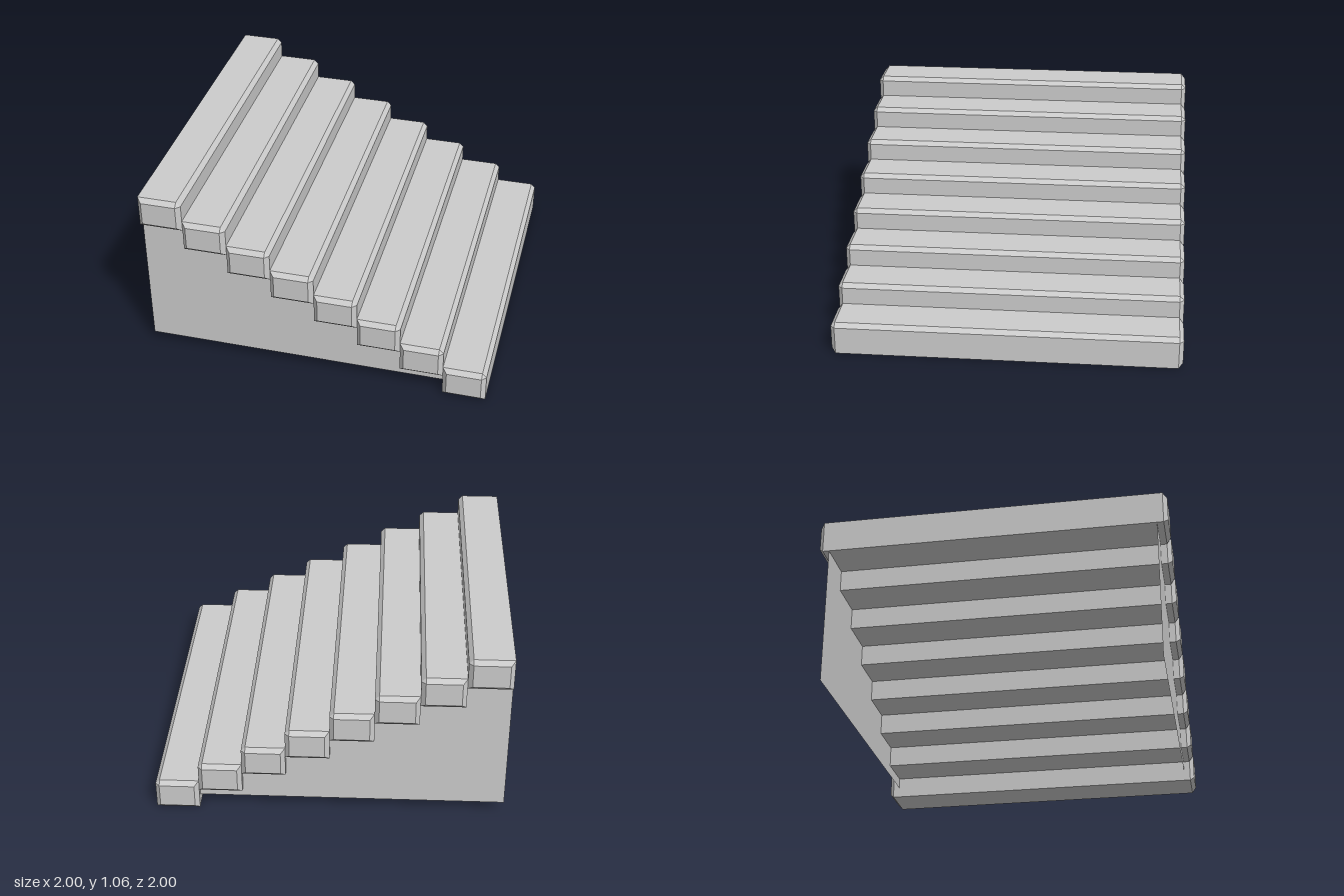
import * as THREE from 'three';
import { ConvexGeometry } from 'three/addons/geometries/ConvexGeometry.js';

const STEPS = 8, RUN = 0.25, RISE = 0.125, HEIGHT = 0.1875, BEVEL = 0.025;

// One tread: a solid bar along z with a bevelled nosing and bevelled ends
function treadGeometry() {
  const w = RUN, h = HEIGHT, b = BEVEL;
  const body = [[0, 0], [w, 0], [w, h - b], [w - b, h], [0, h]];
  const cap = [[b, b], [w - b, b], [w - b, h - b], [b, h - b]];
  const points = [];
  for (const s of [-1, 1]) {
    body.forEach(([x, y]) => points.push(new THREE.Vector3(x, y, s * (1 - b))));
    cap.forEach(([x, y]) => points.push(new THREE.Vector3(x, y, s)));
  }
  return new ConvexGeometry(points);
}

// Thin side sheet whose sloping top edge is hidden inside the treads
function panelGeometry() {
  const shape = new THREE.Shape([
    new THREE.Vector2(-1, 0.0625),
    new THREE.Vector2(0.875, 0.0625),
    new THREE.Vector2(0.875, 0.0925),
    new THREE.Vector2(-1, 1.03),
  ]);
  return new THREE.ShapeGeometry(shape);
}

export function createModel() {
  const model = new THREE.Group();
  model.name = 'staircase';
  const solid = new THREE.MeshStandardMaterial({ color: 0xcccccc, flatShading: true });
  const sheet = new THREE.MeshStandardMaterial({ color: 0xcccccc, side: THREE.DoubleSide });

  // Treads, from the highest at -x down to the ground at +x
  const tread = treadGeometry();
  for (let i = 0; i < STEPS; i++) {
    const mesh = new THREE.Mesh(tread, solid);
    mesh.name = `tread${i + 1}`;
    mesh.position.set(-1 + i * RUN, (STEPS - 1 - i) * RISE, 0);
    model.add(mesh);
  }

  // Side panels, set in slightly from the tread ends
  const panel = panelGeometry();
  for (const [name, z] of [['frontPanel', 0.9375], ['backPanel', -0.9375]]) {
    const mesh = new THREE.Mesh(panel, sheet);
    mesh.name = name;
    mesh.position.z = z;
    model.add(mesh);
  }
  return model;
}
